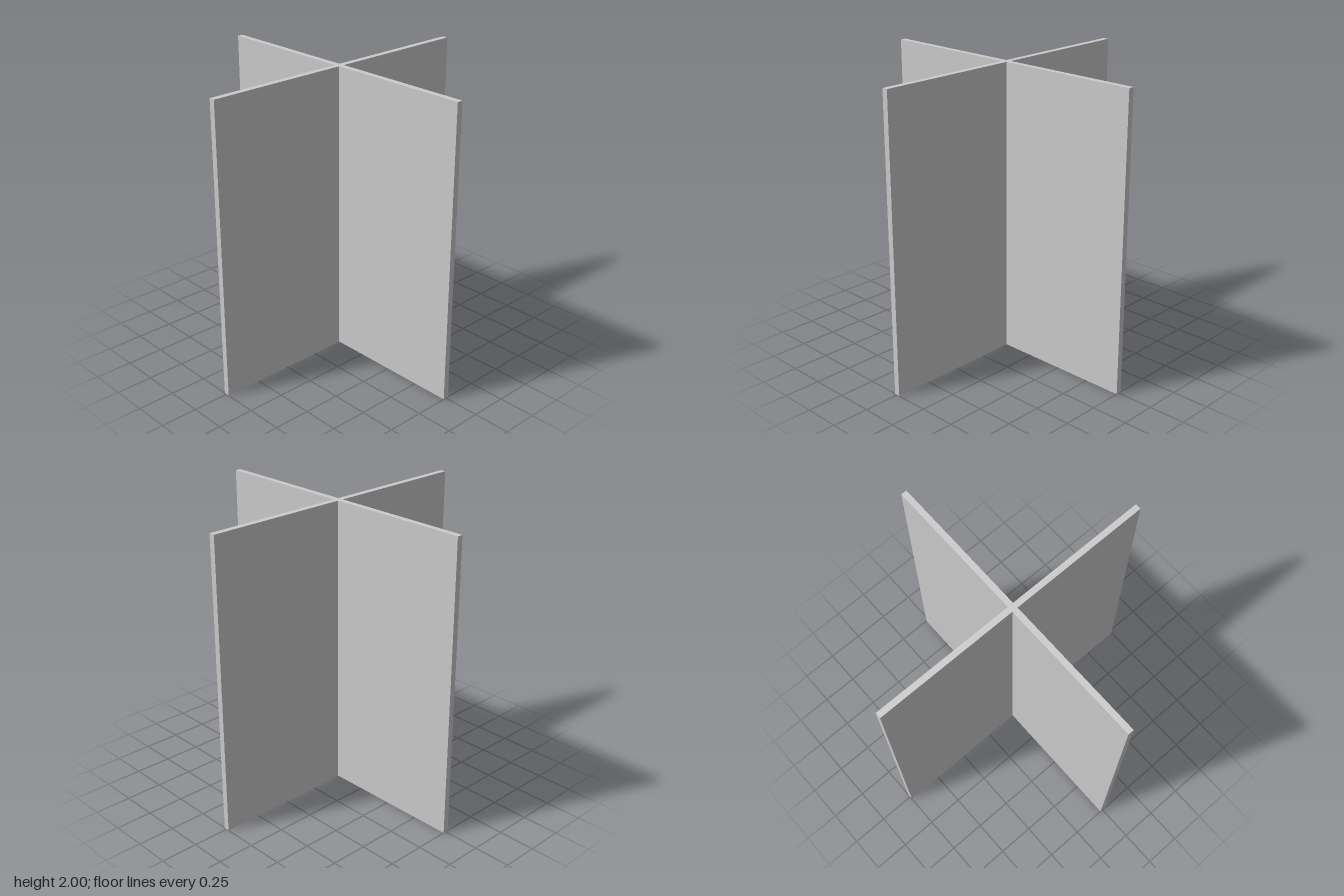
import * as THREE from 'three';

const HALF = 1;        // half the panel width
const HEIGHT = 2;
const T = 0.02;        // half the panel thickness

export function createModel() {
  const group = new THREE.Group();
  group.name = 'crossedPanels';

  // Plus-shaped plan: three corners per arm, turned a quarter four times
  const arm = [[HALF, -T], [HALF, T], [T, T]];
  const points = [];
  for (let i = 0; i < 4; i++) {
    for (const [x, y] of arm) {
      points.push(new THREE.Vector2(x, y).rotateAround(new THREE.Vector2(), i * Math.PI / 2));
    }
  }

  // Two upright square panels joined at the centre, raised from the plan
  const geometry = new THREE.ExtrudeGeometry(new THREE.Shape(points), { depth: HEIGHT, bevelEnabled: false });
  geometry.rotateX(-Math.PI / 2);

  const panels = new THREE.Mesh(geometry, new THREE.MeshStandardMaterial({ color: 0xcccccc }));
  panels.name = 'uprightPanels';
  group.add(panels);
  return group;
}
